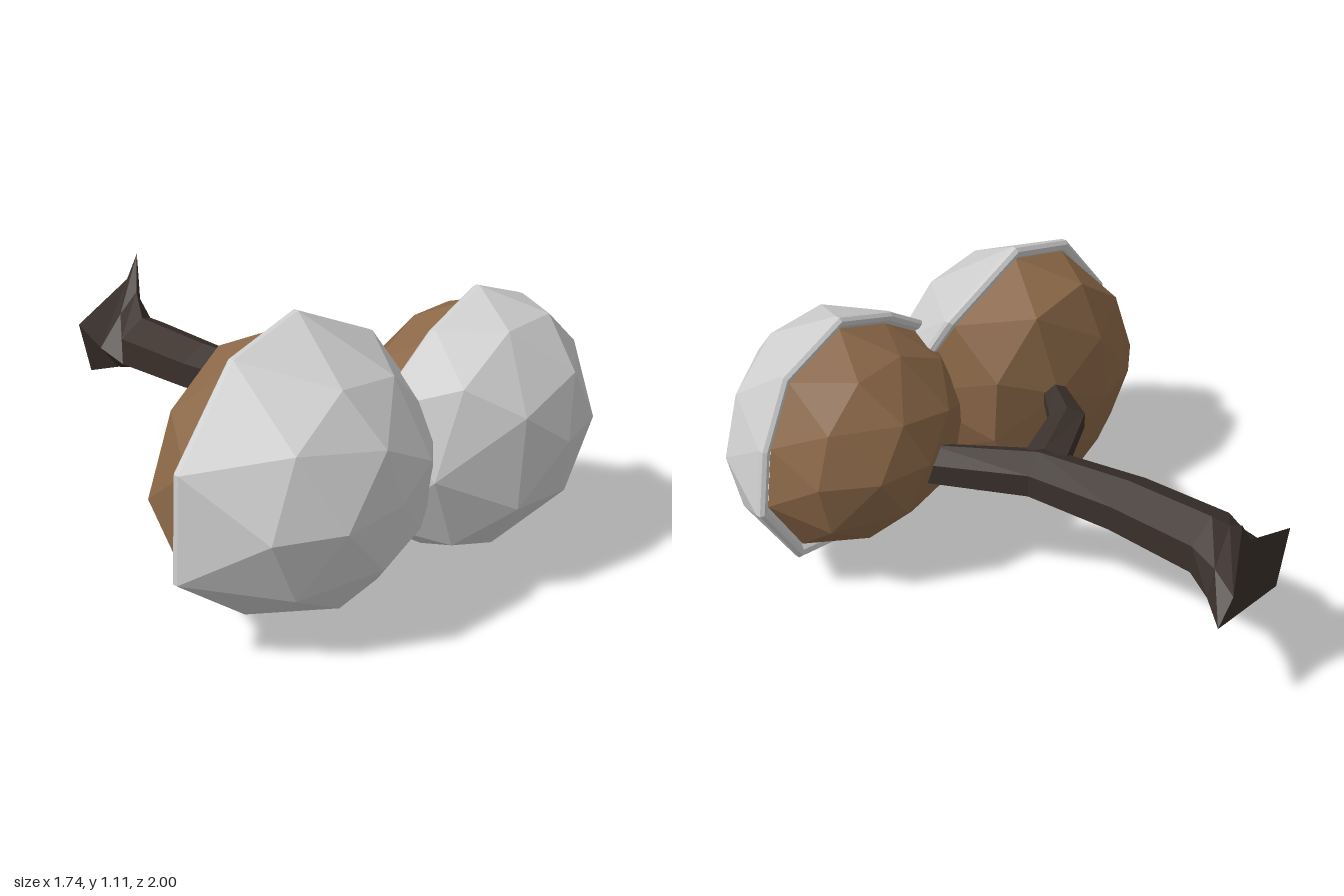
import * as THREE from 'three';

const material = (color) => new THREE.MeshStandardMaterial({ color, flatShading: true, roughness: 0.9 });
const shellGrey = material(0xcccccc);
const nutBrown = material(0x8a6747);
const barkBrown = material(0x3a302b);

// Flat-shaded mesh from a list of triangles, each of three [x, y, z] corners
function facetMesh(name, triangles, mat) {
  const geometry = new THREE.BufferGeometry();
  geometry.setAttribute('position', new THREE.Float32BufferAttribute(triangles.flat(2), 3));
  geometry.computeVertexNormals();
  const mesh = new THREE.Mesh(geometry, mat);
  mesh.name = name;
  return mesh;
}

// Skin between consecutive rings with equal point counts, optionally capped
function loft(rings, capped) {
  const tris = [];
  const n = rings[0].length;
  for (let r = 0; r + 1 < rings.length; r++) {
    const a = rings[r], b = rings[r + 1];
    for (let i = 0; i < n; i++) {
      const j = (i + 1) % n;
      tris.push([a[i], b[i], a[j]], [a[j], b[i], b[j]]);
    }
  }
  if (capped) {
    const first = rings[0], last = rings[rings.length - 1];
    const centre = (ring) => [0, 1, 2].map((k) => ring.reduce((s, p) => s + p[k], 0) / n);
    const c0 = centre(first), c1 = centre(last);
    for (let i = 0; i < n; i++) {
      const j = (i + 1) % n;
      tris.push([c0, first[i], first[j]], [c1, last[j], last[i]]);
    }
  }
  return tris;
}

// Half of a faceted ball: ten-sided rim, staggered ten-ring, five-ring and pole
function dome(rim, pole, [outer, inner], backward) {
  const mix = (i, [scale, depth]) => {
    const p = rim[i], q = rim[(i + 1) % 10];
    const mid = p.map((v, k) => (v + q[k]) / 2);
    return [
      pole[0] + (mid[0] - pole[0]) * scale * 1.04,
      pole[1] + (mid[1] - pole[1]) * scale * 1.04,
      mid[2] + (pole[2] - mid[2]) * depth,
    ];
  };
  const ten = rim.map((_, i) => mix(i, outer));
  const five = [0, 2, 4, 6, 8].map((i) => mix(i, inner));
  const tris = [];
  for (let i = 0; i < 10; i++) {
    const j = (i + 1) % 10;
    tris.push([rim[i], rim[j], ten[i]], [ten[i], rim[j], ten[j]]);
  }
  for (let k = 0; k < 5; k++) {
    const here = five[k], next = five[(k + 1) % 5];
    const e = 2 * k;
    tris.push(
      [here, ten[(e + 9) % 10], ten[e]],
      [here, ten[e], ten[e + 1]],
      [here, ten[e + 1], next],
      [pole, here, next],
    );
  }
  return backward ? tris.map(([a, b, c]) => [a, c, b]) : tris;
}

// One pod: grey cap, rolled lip around its rim and brown nut behind
function makePod(name, spec) {
  const [cx, cy] = spec.centre;
  const ring = (scale, dz) => spec.rim.map(([x, y, z]) =>
    [cx + (x - cx) * scale, cy + (y - cy) * scale, z + dz]);
  const lip = [[1, 0], [1, -0.018], [0.975, -0.03], [0.935, -0.025], [0.88, 0.01]];
  const pod = new THREE.Group();
  pod.name = name;
  pod.add(
    facetMesh('cap', dome(spec.rim, spec.capPole, spec.capRings, false), shellGrey),
    facetMesh('capLip', loft(lip.map(([s, dz]) => ring(s, dz))), shellGrey),
    facetMesh('nut', dome(ring(spec.nutScale, -0.01), spec.nutPole, spec.nutRings, true), nutBrown),
  );
  return pod;
}

// Six-sided section of a branch, turned about y by heading
function section(x, y, z, rx, ry, degrees = 0) {
  const h = THREE.MathUtils.degToRad(degrees);
  return Array.from({ length: 6 }, (_, i) => {
    const a = (i * 60 - 30) * Math.PI / 180;
    const across = Math.cos(a) * rx;
    return [x + across * Math.cos(h), y + Math.sin(a) * ry, z - across * Math.sin(h)];
  });
}

export function createModel() {
  const model = new THREE.Group();
  model.name = 'nutCluster';

  // Front pod, on the model's left
  model.add(makePod('leftPod', {
    centre: [0.4, 0.58],
    rim: [[0.87, 0.45], [0.82, 0.7], [0.69, 0.94], [0.41, 1.05], [0.16, 0.96],
      [-0.12, 0.77], [-0.13, 0.33], [0.14, 0.135], [0.41, 0.11], [0.72, 0.17]]
      .map(([x, y]) => [x, y, 0.59]),
    capPole: [0.4, 0.59, 1],
    capRings: [[0.89, 0.5], [0.52, 0.88]],
    nutPole: [0.39, 0.58, 0.19],
    nutScale: 0.9,
    nutRings: [[0.84, 0.49], [0.47, 0.87]],
  }));

  // Rear pod, whose rim bends forward where the pods meet
  model.add(makePod('rightPod', {
    centre: [-0.35, 0.55],
    rim: [[0.16, 0.6, 0.58], [0.06, 0.94, 0.4], [-0.29, 1.11, 0.37], [-0.58, 1.03, 0.36],
      [-0.84, 0.73, 0.37], [-0.87, 0.35, 0.38], [-0.55, 0.075, 0.37], [-0.3, 0, 0.37],
      [-0.04, 0.13, 0.38], [0.06, 0.3, 0.5]],
    capPole: [-0.28, 0.56, 0.815],
    capRings: [[0.75, 0.64], [0.41, 0.95]],
    nutPole: [-0.45, 0.51, 0.03],
    nutScale: 0.92,
    nutRings: [[0.85, 0.63], [0.47, 0.91]],
  }));

  // Stem: main trunk with a flared, broken end, and a side branch
  const neck = section(0.085, 0.53, -0.79, 0.132, 0.11);
  const flare = [[0.35, 0.45], [0.27, 0.53], [0.26, 0.815], [0.2, 0.72], [-0.07, 0.6], [-0.02, 0.38]]
    .map(([x, y]) => [x, y, -1]);
  const swell = neck.map((p, i) =>
    [p[0] + (flare[i][0] - p[0]) * 0.42, p[1] + (flare[i][1] - p[1]) * 0.35, -0.9]);
  const stem = new THREE.Group();
  stem.name = 'stem';
  stem.add(
    facetMesh('trunk', loft([
      section(0.32, 0.52, 0.25, 0.08, 0.08, 25),
      section(0.13, 0.525, -0.09, 0.105, 0.09, 15),
      section(0.085, 0.53, -0.45, 0.122, 0.1),
      neck, swell, flare,
    ], true), barkBrown),
    facetMesh('sideBranch', loft([
      section(-0.215, 0.625, 0.12, 0.045, 0.045, -35),
      section(-0.095, 0.61, -0.045, 0.075, 0.06, -48),
      section(0.1, 0.55, -0.095, 0.09, 0.065, -72),
    ], true), barkBrown),
  );
  model.add(stem);
  return model;
}
